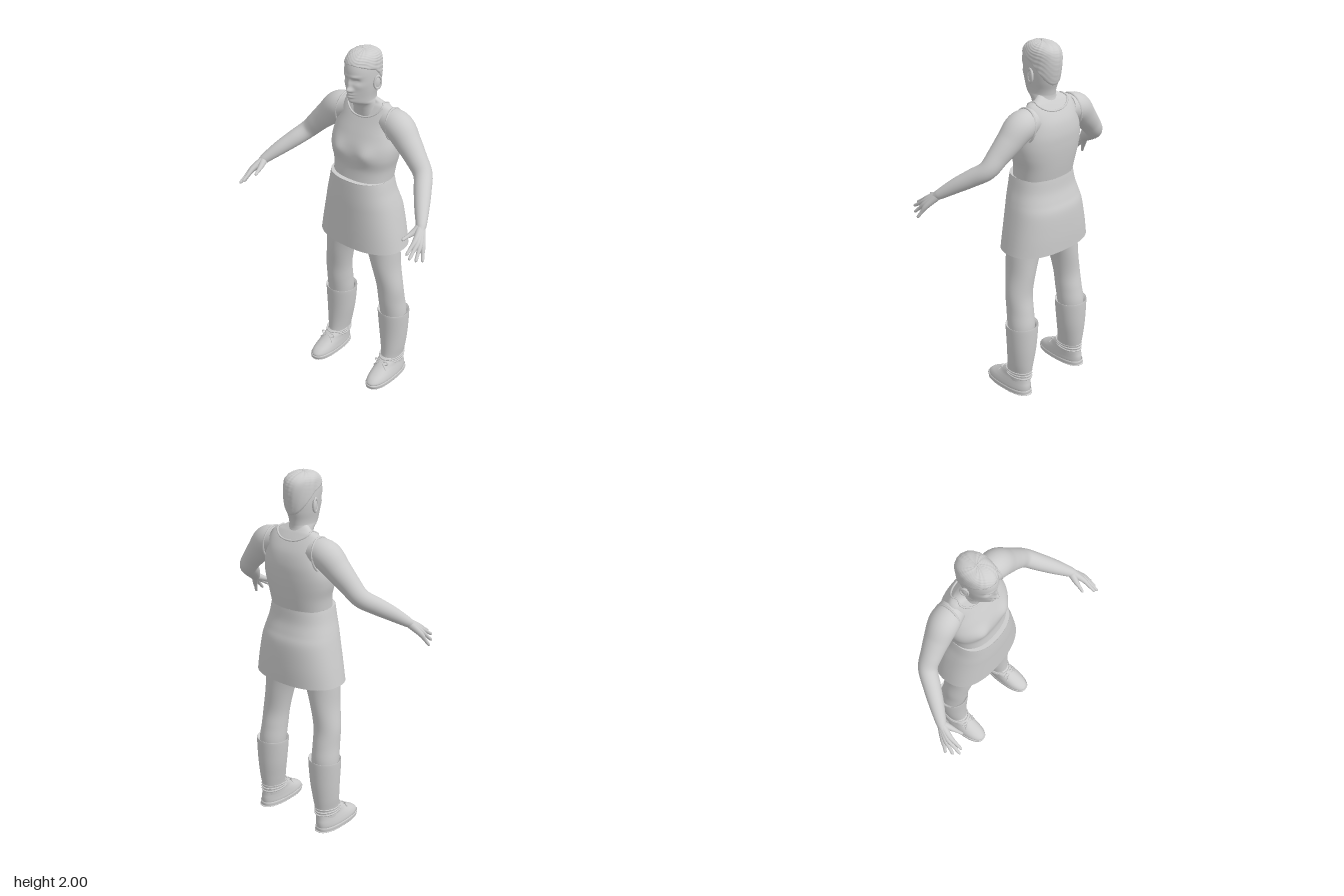
import * as THREE from 'three';

const grey = new THREE.MeshStandardMaterial({ color: 0xcccccc, side: THREE.DoubleSide });
grey.name = 'plainGrey';

// Smooth (Catmull-Rom) interpolation along a list of number rows
function sample(rows, t) {
  const last = rows.length - 1;
  const i = Math.min(Math.floor(t), last - 1), f = t - i;
  const row = k => rows[Math.max(0, Math.min(last, k))];
  return rows[0].map((_, c) => {
    const [a, b, d, e] = [row(i - 1)[c], row(i)[c], row(i + 1)[c], row(i + 2)[c]];
    return b + 0.5 * f * (d - a + f * (2 * a - 5 * b + 4 * d - e + f * (3 * (b - d) + e - a)));
  });
}

// Closed-around surface from a rule point(angle, v) -> [x, y, z]
function surface(nu, nv, point) {
  const pos = [], idx = [];
  for (let j = 0; j <= nv; j++)
    for (let i = 0; i < nu; i++) pos.push(...point((i / nu) * Math.PI * 2, j / nv));
  for (let j = 0; j < nv; j++)
    for (let i = 0; i < nu; i++) {
      const k = (i + 1) % nu, a = j * nu + i, b = j * nu + k;
      idx.push(a, b, b + nu, a, b + nu, a + nu);
    }
  const g = new THREE.BufferGeometry();
  g.setAttribute('position', new THREE.Float32BufferAttribute(pos, 3));
  g.setIndex(idx);
  g.computeVertexNormals();
  return g;
}

// Point on a level ring row [y, halfWidth, zFront, zBack, centreX]
function ringPoint(rows, angle, t, grow = 0, e = 1) {
  const [y, hx, zf, zb, cx] = sample(rows, t);
  const s = Math.sin(angle), c = Math.cos(angle);
  const soft = v => Math.sign(v) * Math.pow(Math.abs(v), e);
  return [(cx || 0) + (hx + grow) * soft(s), y, (zf + zb) / 2 + ((zf - zb) / 2 + grow) * soft(c)];
}
const loft = (rows, e = 1, nu = 48) =>
  surface(nu, (rows.length - 1) * 6, (a, v) => ringPoint(rows, a, v * (rows.length - 1), 0, e));

// Tapered limb along rows [x, y, z, radius]
function limb(rows, nu = 20, steps = 6) {
  const n = (rows.length - 1) * steps;
  const curve = new THREE.CatmullRomCurve3(rows.map(r => new THREE.Vector3(r[0], r[1], r[2])));
  curve.getPointAt = t => curve.getPoint(t);
  curve.getTangentAt = t => curve.getTangent(t);
  const { normals, binormals } = curve.computeFrenetFrames(n, false);
  return surface(nu, n, (a, v) => {
    const j = Math.round(v * n), r = Math.max(0.0005, sample(rows, v * (rows.length - 1))[3]);
    return curve.getPoint(v).addScaledVector(normals[j], r * Math.cos(a))
      .addScaledVector(binormals[j], r * Math.sin(a)).toArray();
  });
}

function mirror(geo) {
  const g = geo.clone().scale(-1, 1, 1), ix = g.index.array;
  for (let i = 0; i < ix.length; i += 3) [ix[i], ix[i + 1]] = [ix[i + 1], ix[i]];
  g.computeVertexNormals();
  return g;
}
const bump = (dx, dy, sx, sy) => Math.exp(-((dx / sx) ** 2) - (dy / sy) ** 2);

const TORSO = [
  [1.27, .17, .03, -.22], [1.35, .178, .02, -.235], [1.42, .195, .024, -.245], [1.48, .2, .012, -.25],
  [1.54, .19, -.012, -.25], [1.6, .172, -.04, -.238], [1.65, .163, -.064, -.213],
  [1.69, .14, -.085, -.185], [1.708, .1, -.095, -.17], [1.73, .062, -.09, -.15]];
function torsoPoint(angle, t, grow = 0) {
  const p = ringPoint(TORSO, angle, t, grow, 0.85);
  if (p[2] > -0.1) p[2] += 0.018 * bump(Math.abs(p[0]) - 0.095, p[1] - 1.45, 0.05, 0.045) * Math.max(0, Math.cos(angle));
  return p;
}
const neckline = a => (Math.cos(a) > 0 ? 5.6 : 6.2) + (Math.cos(a) > 0 ? 2.4 : 1.8) * Math.sin(a) ** 2;

const HEAD = [
  [1.62, .085, -.06, -.2], [1.67, .07, -.05, -.178], [1.705, .066, -.035, -.168], [1.722, .064, -.005, -.166],
  [1.735, .063, .012, -.167], [1.76, .066, .02, -.172], [1.8, .073, .022, -.185], [1.85, .079, .022, -.195],
  [1.9, .08, .028, -.2], [1.94, .077, .02, -.197], [1.965, .07, .005, -.185], [1.983, .054, -.02, -.16],
  [1.992, .03, -.05, -.125], [1.994, .001, -.085, -.087]];
// Face features: [x, y, spreadX, spreadY, height], mirrored across x
const FACE = [
  [0, 1.838, .01, .03, .014], [0, 1.81, .014, .012, .02], [.014, 1.805, .008, .008, .009],
  [.033, 1.857, .017, .011, -.012], [.033, 1.855, .011, .006, .006], [.03, 1.882, .025, .008, .006],
  [0, 1.784, .021, .005, .009], [0, 1.768, .018, .005, .009], [0, 1.742, .02, .012, .006],
  [.05, 1.828, .016, .016, .004]];
function headPoint(angle, t, grow = 0) {
  const p = ringPoint(HEAD, angle, t, grow, 0.95);
  const front = THREE.MathUtils.smoothstep(p[2], -0.07, 0.02);
  p[0] *= 1 - 0.25 * front * (1 - THREE.MathUtils.smoothstep(p[1], 1.74, 1.84));
  for (const [x, y, sx, sy, h] of FACE) p[2] += front * h * bump(Math.abs(p[0]) - x, p[1] - y, sx, sy);
  return p;
}

export function createModel() {
  const model = new THREE.Group();
  const add = (name, geo, parent = model) => {
    const m = new THREE.Mesh(geo, grey);
    m.name = name;
    parent.add(m);
    return m;
  };
  const pair = (name, geo) => { add(name + 'Left', geo); add(name + 'Right', mirror(geo)); };

  // Head, cropped hair and ears
  add('head', surface(110, 120, (a, v) => headPoint(a, v * 13)));
  add('hair', surface(90, 40, (a, v) => {
    const c = Math.cos(a), t0 = c > 0 ? 8 + c : 8 + 2.4 * c;
    const t = t0 + (13 - t0) * v;
    const curl = Math.sin(a * 13 + t * 5) * Math.sin(t * 7 + Math.sin(a * 5) * 2);
    const p = headPoint(a, t, v === 0 ? -0.002 : 0.004 + 0.002 * curl);
    p[1] += 0.004 * v + 0.0015 * curl * v;
    return p;
  }));
  pair('ear', new THREE.SphereGeometry(1, 20, 14).scale(.011, .036, .021).rotateY(-.3).translate(.083, 1.832, -.092));
  pair('earRim', new THREE.TorusGeometry(.021, .005, 8, 24).rotateY(Math.PI / 2).scale(1, 1.6, 1)
    .rotateY(-.3).translate(.09, 1.835, -.093));

  // Shoulders and sleeveless top
  add('shoulders', surface(64, 30, (a, v) => torsoPoint(a, 4 + 5 * v, -0.007)));
  add('top', surface(80, 56, (a, v) => torsoPoint(a, neckline(a) * v)));
  const collar = [];
  for (let i = 0; i < 48; i++) {
    const a = (i / 48) * Math.PI * 2;
    collar.push(new THREE.Vector3(...torsoPoint(a, neckline(a))));
  }
  add('collar', new THREE.TubeGeometry(new THREE.CatmullRomCurve3(collar, true), 120, .005, 8, true));
  pair('armhole', new THREE.TorusGeometry(.08, .006, 8, 40).rotateY(Math.PI / 2)
    .scale(1, 1.12, .92).rotateZ(.12).translate(.168, 1.6, -.138));

  // Arms and hands
  pair('arm', limb([[.12, 1.62, -.14, .07], [.2, 1.6, -.135, .08], [.27, 1.535, -.125, .069],
    [.33, 1.475, -.113, .058], [.39, 1.41, -.095, .05], [.44, 1.36, -.03, .046],
    [.49, 1.31, .04, .039], [.54, 1.255, .11, .027], [.553, 1.238, .132, .02]], 28));
  const fingers = [
    [[.562, 1.215, .185], [.565, 1.165, .265]], [[.575, 1.205, .182], [.586, 1.148, .27]],
    [[.585, 1.193, .175], [.607, 1.13, .24]], [[.592, 1.183, .162], [.622, 1.115, .2]],
    [[.522, 1.228, .165], [.505, 1.21, .225]]];
  fingers.forEach(([k, tip], i) => {
    const mid = f => k.map((c, n) => c + (tip[n] - c) * f);
    pair(i < 4 ? 'finger' + (i + 1) : 'thumb', limb([[.54, 1.255, .11, .022], [...k, .0145],
      [...mid(.5), .0095], [...mid(.9), .0075], [...tip, .0005]], 12));
  });

  // Flared skirt, closed at the waist and open at the hem
  add('skirt', loft([[.88, .265, .06, -.275], [.98, .247, .06, -.276], [1.1, .222, .06, -.27],
    [1.16, .207, .06, -.252], [1.22, .19, .058, -.234], [1.285, .176, .054, -.226],
    [1.29, .172, .05, -.222], [1.29, .15, .01, -.19]], .85, 64));

  // Legs, long socks and laced shoes
  pair('leg', loft([[.3, .06, -.07, -.19, .2], [.42, .074, -.055, -.208, .195], [.52, .073, -.04, -.195, .19],
    [.62, .075, -.03, -.18, .185], [.75, .079, -.01, -.185, .163], [.88, .098, 0, -.192, .139],
    [.97, .105, .012, -.21, .122], [1.1, .1, .02, -.22, .11]]));
  pair('bootShaft', loft([[.08, .056, -.03, -.195, .203], [.13, .057, -.045, -.2, .201], [.2, .068, -.05, -.21, .2],
    [.3, .081, -.05, -.22, .196], [.425, .091, -.045, -.224, .193], [.434, .087, -.049, -.22, .193],
    [.425, .076, -.055, -.212, .193]]));
  pair('shoe', loft([[.018, .058, .1, -.2, .209], [.035, .062, .104, -.203, .209], [.055, .06, .085, -.203, .208],
    [.075, .057, .05, -.2, .206], [.095, .054, .015, -.198, .204], [.12, .053, -.02, -.195, .202],
    [.14, .045, -.05, -.18, .202]], .88));
  pair('sole', loft([[0, .001, -.05, -.055, .21], [.002, .058, .09, -.2, .21], [.01, .063, .105, -.206, .21],
    [.024, .064, .11, -.207, .21], [.03, .061, .106, -.204, .21]], .82));
  for (let i = 0; i < 3; i++)
    pair('ankleLace' + (i + 1), new THREE.TorusGeometry(1, .06, 8, 48).rotateX(Math.PI / 2)
      .scale(.059, .08, .084).rotateX(.05 * (i - 1)).translate(.202, .108 + .014 * i, -.116));
  for (const s of [-1, 1]) {
    const side = s < 0 ? 'Inner' : 'Outer';
    pair('bow' + side, new THREE.TorusGeometry(.016, .0035, 8, 20).scale(1.3, .6, 1)
      .rotateX(-.6).rotateZ(s * .25).translate(.204 + s * .024, .118, -.02));
    pair('laceEnd' + side, limb([[.204, .116, -.02, .0035], [.204 + s * .025, .108, -.008, .0035],
      [.204 + s * .045, .09, -.002, .0035]], 8));
  }
  return model;
}
